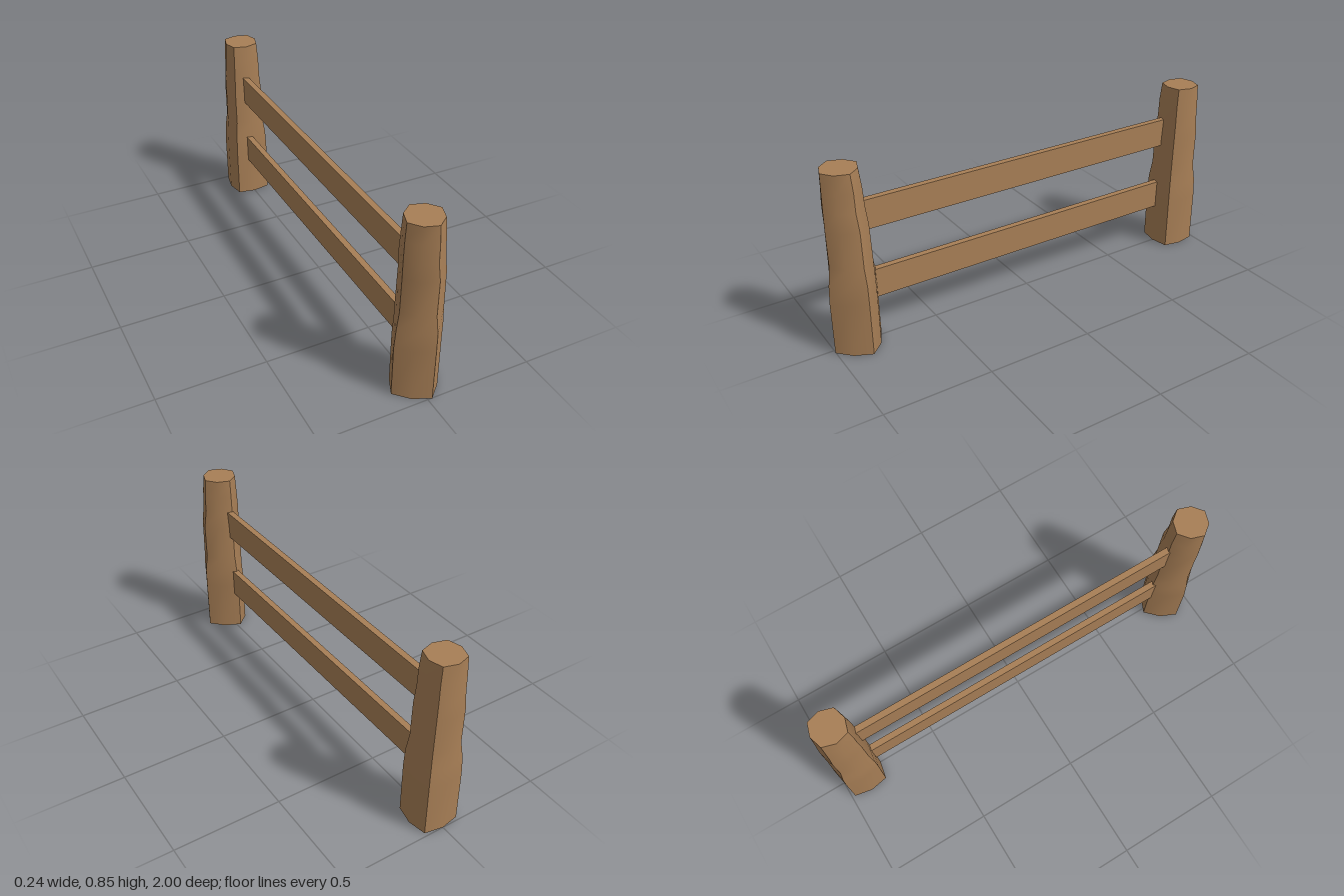
import * as THREE from 'three';

// Post rings: height, corner radius, bulge radius between corners
const RINGS = [
  [0, 0.12, 0.101], [0.255, 0.12, 0.101], [0.34, 0.116, 0.099], [0.425, 0.103, 0.097],
  [0.595, 0.102, 0.094], [0.68, 0.095, 0.09], [0.765, 0.093, 0.086], [0.85, 0.087, 0.08],
];

// Worn square post: four bowed sides, sharp at the corners, with flat end caps.
// leans holds the x, z shift of each ring.
function postGeometry(turn, leans) {
  const positions = [];
  const indices = [];
  const point = (row, k) => {
    const [y, corner, bulge] = RINGS[row];
    const r = k % 2 ? bulge : corner;
    const a = turn + (k * Math.PI) / 4;
    return [leans[row][0] + r * Math.cos(a), y, leans[row][1] + r * Math.sin(a)];
  };

  // Each side has its own vertices, so shading breaks only at the corners
  for (let side = 0; side < 4; side++) {
    const base = positions.length / 3;
    for (let row = 0; row < RINGS.length; row++) {
      for (let c = 0; c < 3; c++) positions.push(...point(row, side * 2 + c));
    }
    for (let row = 0; row < RINGS.length - 1; row++) {
      for (let c = 0; c < 2; c++) {
        const a = base + row * 3 + c;
        indices.push(a, a + 3, a + 1, a + 1, a + 3, a + 4);
      }
    }
  }

  // End caps
  for (const row of [0, RINGS.length - 1]) {
    const base = positions.length / 3;
    positions.push(leans[row][0], RINGS[row][0], leans[row][1]);
    for (let k = 0; k < 8; k++) positions.push(...point(row, k));
    for (let k = 0; k < 8; k++) {
      const a = base + 1 + k;
      const b = base + 1 + ((k + 1) % 8);
      if (row === 0) indices.push(base, a, b);
      else indices.push(base, b, a);
    }
  }

  const geometry = new THREE.BufferGeometry();
  geometry.setAttribute('position', new THREE.Float32BufferAttribute(positions, 3));
  geometry.setIndex(indices);
  geometry.computeVertexNormals();
  return geometry;
}

export function createModel() {
  const group = new THREE.Group();
  group.name = 'fence';
  const wood = new THREE.MeshStandardMaterial({ color: 0xa87f56 });
  wood.name = 'brown wood';

  const add = (name, geometry, x, y, z) => {
    const mesh = new THREE.Mesh(geometry, wood);
    mesh.name = name;
    mesh.position.set(x, y, z);
    group.add(mesh);
  };

  // Posts, the front one turned on its axis
  const frontLean = [[0, 0], [0, 0], [0.003, 0], [0.002, 0], [0.002, 0.002], [-0.006, 0.005], [-0.006, 0.005], [-0.009, 0.008]];
  const backLean = [[0, 0], [0, 0], [0, 0], [0, 0], [0, -0.003], [0, -0.004], [0, -0.004], [0, -0.007]];
  add('frontPost', postGeometry(THREE.MathUtils.degToRad(-9.5), frontLean), 0, 0, 0.884);
  add('backPost', postGeometry(Math.PI / 4, backLean), 0, 0, -0.899);

  // Rails
  const rail = new THREE.BoxGeometry(0.03, 0.138, 1.65);
  add('lowerRail', rail, -0.013, 0.271, 0);
  add('upperRail', rail, -0.013, 0.612, 0);

  return group;
}
